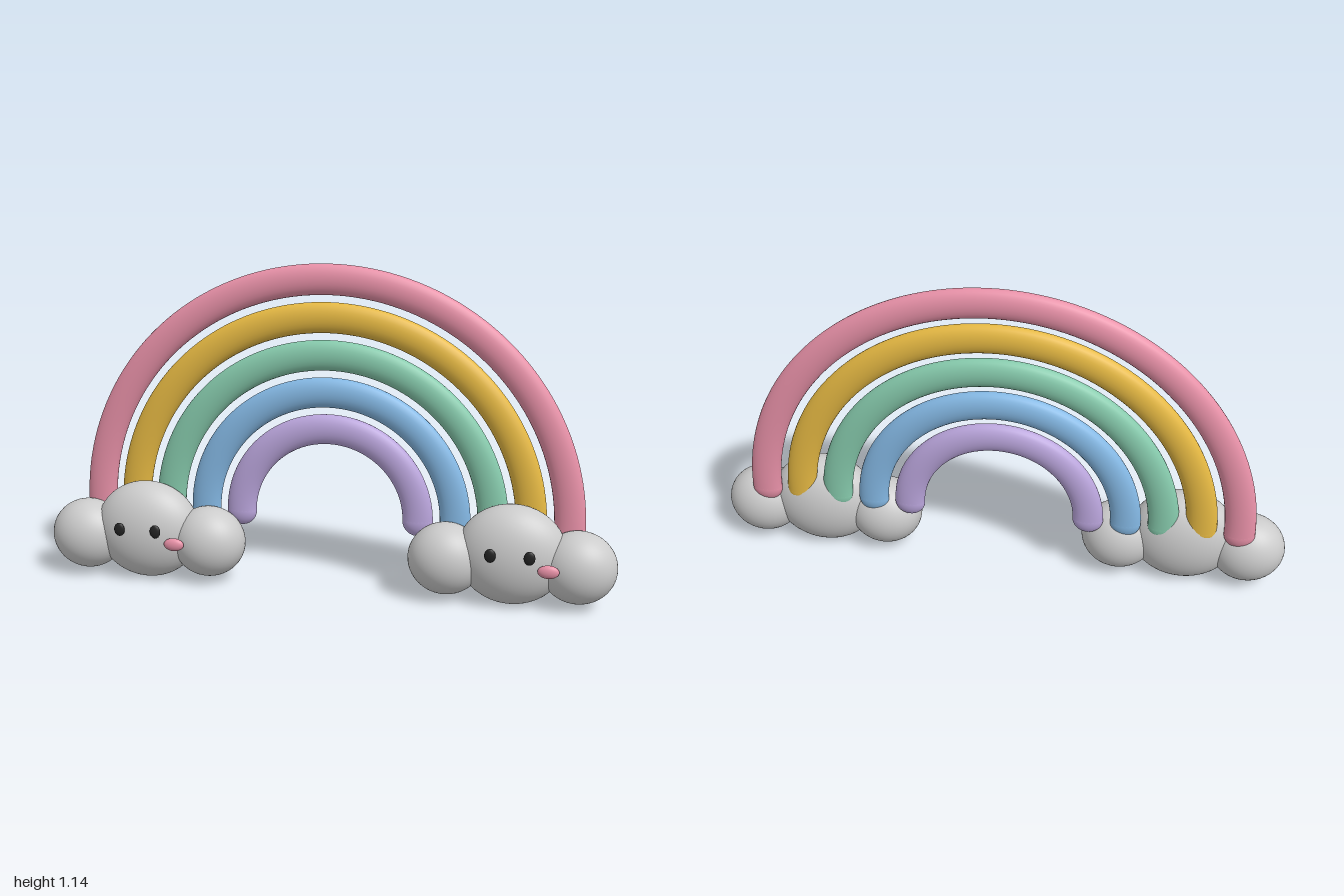
import * as THREE from 'three';

const material = (color) => new THREE.MeshStandardMaterial({ color });

function ellipsoid(name, mat, [x, y, z], [rx, ry, rz]) {
  const mesh = new THREE.Mesh(new THREE.SphereGeometry(1, 40, 28), mat);
  mesh.name = name;
  mesh.position.set(x, y, z);
  mesh.scale.set(rx, ry, rz);
  return mesh;
}

// One rainbow band: a half ring with rounded ends, flattened in depth
function createBand(name, radius, color) {
  const tube = 0.053;
  const band = new THREE.Group();
  band.name = name;
  const mat = material(color);
  const arch = new THREE.Mesh(new THREE.TorusGeometry(radius, tube, 24, 80, Math.PI), mat);
  arch.name = name + 'Arch';
  band.add(arch);
  for (const side of [-1, 1]) {
    band.add(ellipsoid(name + 'End', mat, [side * radius, 0, 0], [tube, tube, tube]));
  }
  band.position.set(0, 0.25, -0.071);
  band.scale.z = 0.03 / tube;
  return band;
}

// A cloud of three puffs with two eyes and a small mouth off to one side
function createCloud(name, x) {
  const cloud = new THREE.Group();
  cloud.name = name;
  const grey = material(0xcccccc);
  const black = material(0x222222);
  cloud.add(ellipsoid('middlePuff', grey, [0, 0.178, -0.008], [0.188, 0.176, 0.109]));
  for (const side of [-1, 1]) {
    cloud.add(ellipsoid('sidePuff', grey, [side * 0.224, 0.147, -0.008], [0.131, 0.126, 0.109]));
    cloud.add(ellipsoid('eye', black, [side * 0.065, 0.211, 0.111], [0.019, 0.024, 0.009]));
  }
  cloud.add(ellipsoid('mouth', material(0xe58fa5), [0.128, 0.164, 0.1], [0.036, 0.023, 0.015]));
  cloud.position.x = x;
  return cloud;
}

export function createModel() {
  const model = new THREE.Group();
  model.name = 'rainbow';
  const bands = [
    ['pinkBand', 0xe891a8],
    ['yellowBand', 0xe6b943],
    ['greenBand', 0x86caac],
    ['blueBand', 0x84b8e4],
    ['purpleBand', 0xbaa5dc],
  ];
  bands.forEach(([name, color], i) => model.add(createBand(name, 0.834 - i * 0.13, color)));
  model.add(createCloud('rightCloud', -0.645), createCloud('leftCloud', 0.645));
  return model;
}
